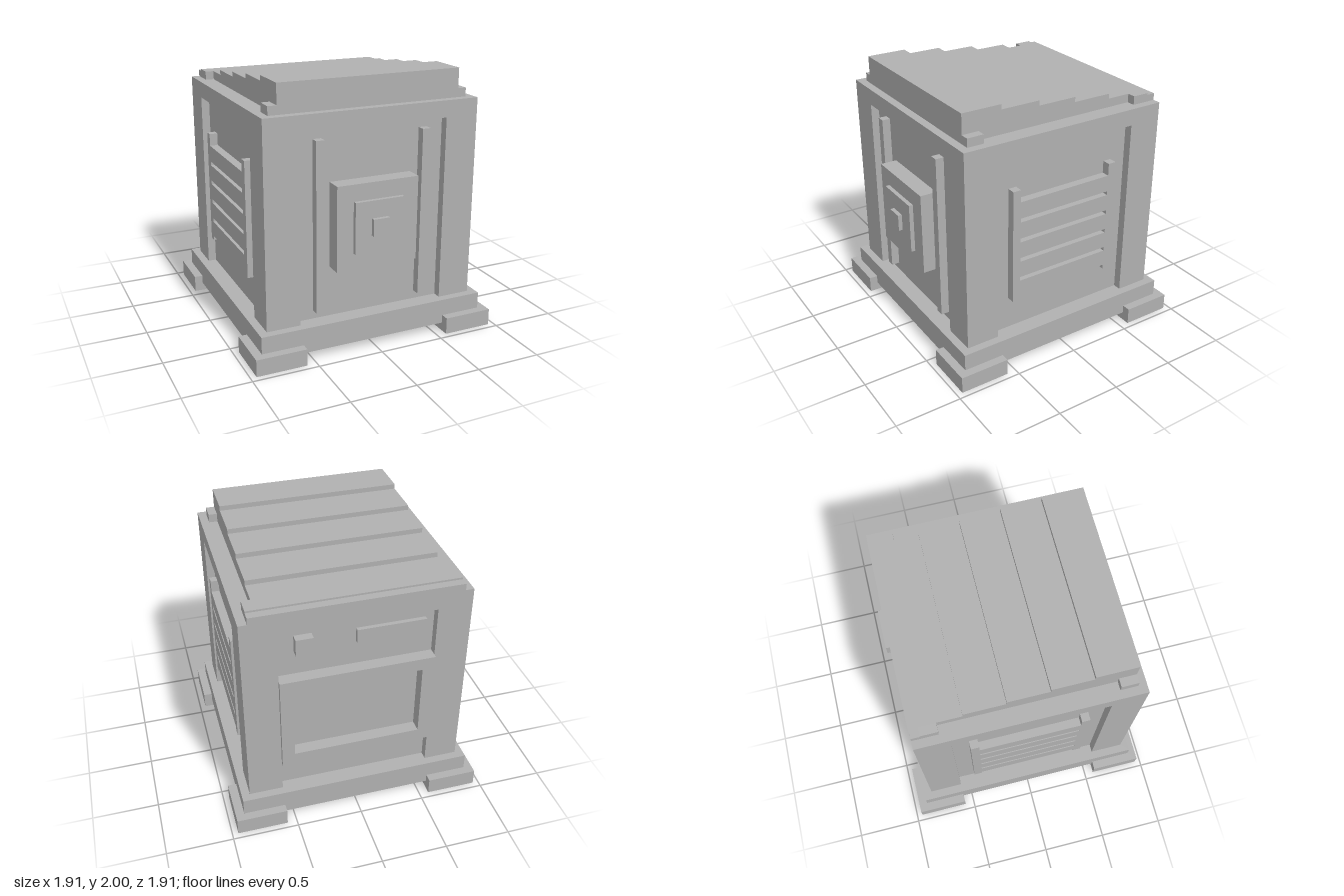
import * as THREE from 'three';

const grey = new THREE.MeshStandardMaterial({ color: 0xb0b0b0 });
grey.name = 'grey';

// Box given by its min/max on each axis
function box(parent, name, x0, x1, y0, y1, z0, z1) {
  const mesh = new THREE.Mesh(new THREE.BoxGeometry(x1 - x0, y1 - y0, z1 - z0), grey);
  mesh.position.set((x0 + x1) / 2, (y0 + y1) / 2, (z0 + z1) / 2);
  mesh.name = name;
  parent.add(mesh);
  return mesh;
}

// Closed path from [x, y] pairs
function outline(points, Type = THREE.Shape) {
  const path = new Type();
  points.forEach(([x, y], i) => (i ? path.lineTo(x, y) : path.moveTo(x, y)));
  path.closePath();
  return path;
}
const rect = (x0, x1, y0, y1) => [[x0, y0], [x1, y0], [x1, y1], [x0, y1]];

function extrude(name, shape, depth) {
  const mesh = new THREE.Mesh(new THREE.ExtrudeGeometry(shape, { depth, bevelEnabled: false }), grey);
  mesh.name = name;
  return mesh;
}

const IN = 0.765, OUT = 0.828; // recessed panel plane and outer wall plane

export function createModel() {
  const model = new THREE.Group();
  model.name = 'cabinet';

  // Base slab and corner feet
  box(model, 'base', -0.89, 0.89, 0.064, 0.255, -0.89, 0.89);
  for (const sx of [-1, 1]) for (const sz of [-1, 1]) {
    const cx = sx * 0.764, cz = sz * 0.764, h = 0.191;
    box(model, 'foot', cx - h, cx + h, 0, 0.128, cz - h, cz + h);
  }

  // Body: recessed core, corner posts, top slab
  box(model, 'core', -IN, IN, 0.255, 1.66, -IN, IN);
  for (const sx of [-1, 1]) for (const sz of [-1, 1]) {
    const c = (0.573 + OUT) / 2, h = (OUT - 0.573) / 2;
    box(model, 'cornerPost', sx * c - h, sx * c + h, 0.255, 1.66, sz * c - h, sz * c + h);
  }
  box(model, 'topSlab', -OUT, OUT, 1.66, 1.785, -OUT, OUT);

  // Stepped roof, profile drawn along z then turned to run across x
  const roofPoints = [[IN, 1.785], [IN, 2]];
  [0.46, 0.155, -0.15, -0.455].forEach((z, i) => {
    roofPoints.push([z, 2 - i * 0.0375], [z, 2 - (i + 1) * 0.0375]);
  });
  roofPoints.push([-IN, 1.85], [-IN, 1.785]);
  const roof = extrude('steppedRoof', outline(roofPoints.map(([z, y]) => [-z, y])), 1.4);
  roof.rotation.y = Math.PI / 2;
  roof.position.x = -0.7;
  model.add(roof);
  for (const s of [-1, 1]) {
    const x0 = s > 0 ? 0.7 : -IN, x1 = s > 0 ? IN : -0.7;
    box(model, 'roofFrontClip', x0, x1, 1.785, 1.85, 0.637, IN);
    box(model, 'roofBackClip', x0, x1, 1.785, 1.85, -IN, -0.637);
  }
  box(model, 'roofBackLip', -IN, IN, 1.785, 1.836, -OUT, -IN);

  // Front bars and stepped square boss
  for (const s of [-1, 1]) {
    box(model, 'frontBar', s * 0.414 - 0.032, s * 0.414 + 0.032, 0.32, 1.595, IN, OUT);
  }
  box(model, 'bossPlate', -0.318, 0.318, 0.64, 1.275, IN, 0.892);
  box(model, 'bossMiddle', -0.191, 0.191, 0.767, 1.15, 0.892, 0.924);
  box(model, 'bossButton', -0.064, 0.064, 0.894, 1.02, 0.924, 0.955);

  // Side louvres: one slotted plate with taller uprights, on each side
  const louvre = outline([
    [-0.446, 0.512], [-0.383, 0.512], [-0.383, 0.545], [0.383, 0.545], [0.383, 0.512], [0.446, 0.512],
    [0.446, 1.402], [0.383, 1.402], [0.383, 1.308], [-0.383, 1.308], [-0.383, 1.402], [-0.446, 1.402],
  ]);
  for (let i = 0; i < 4; i++) {
    const y = 0.672 + i * 0.159;
    louvre.holes.push(outline(rect(-0.383, 0.383, y, y + 0.031), THREE.Path));
  }
  for (const s of [-1, 1]) {
    const mesh = extrude('sideLouvre', louvre, OUT - IN);
    mesh.rotation.y = s * Math.PI / 2;
    mesh.position.x = s * IN;
    model.add(mesh);
  }

  // Back: framed hatch, square knob and slot plate
  const hatch = outline(rect(-0.573, 0.573, 0.51, 1.274));
  hatch.holes.push(outline(rect(-0.478, 0.478, 0.605, 1.178), THREE.Path));
  const frame = extrude('backHatchFrame', hatch, 0.86 - IN);
  frame.position.z = -0.86;
  model.add(frame);
  box(model, 'backKnob', 0.318, 0.446, 1.465, 1.595, -OUT, -IN);
  box(model, 'backSlotPlate', -0.509, 0, 1.468, 1.575, -0.797, -IN);

  return model;
}
